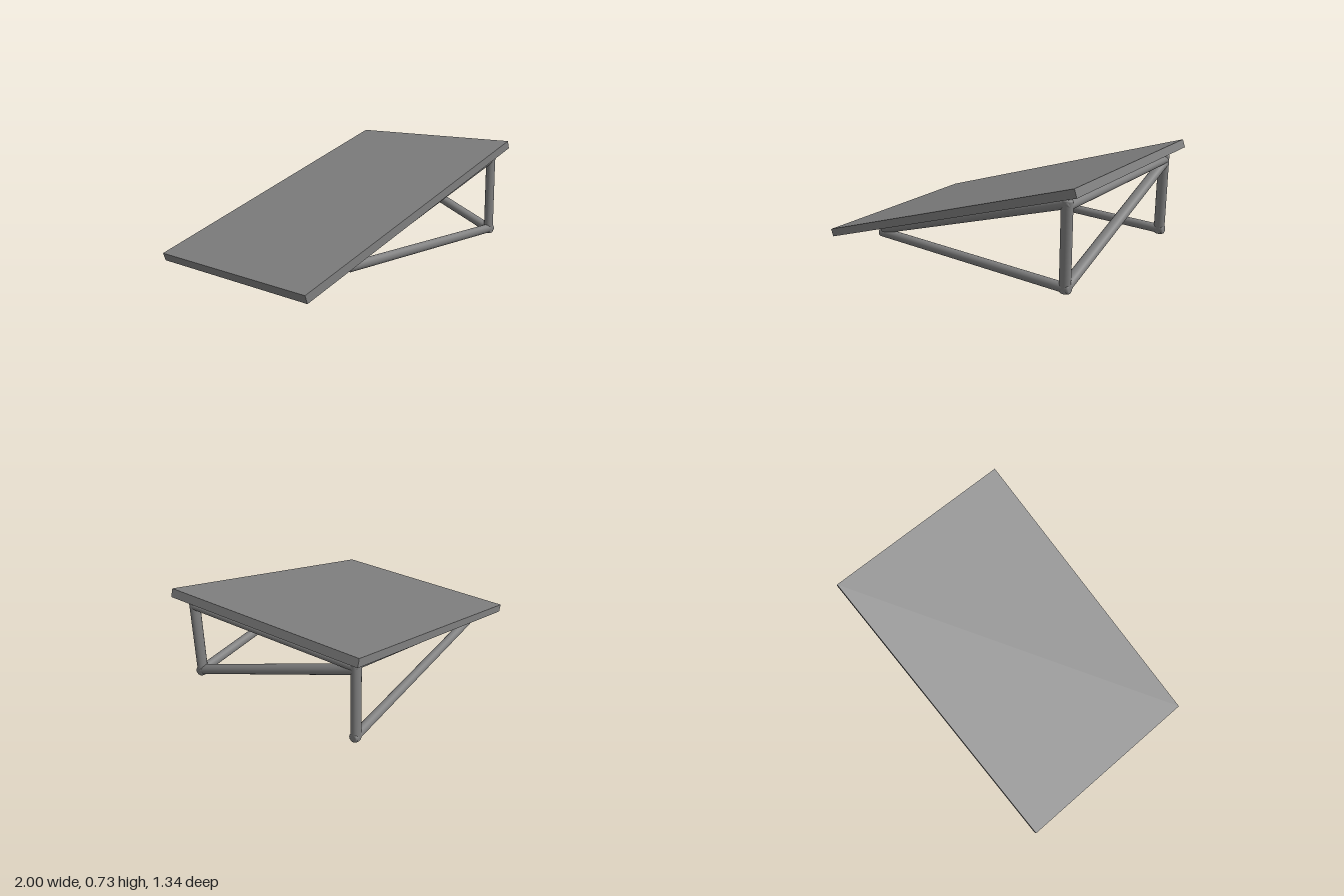
import * as THREE from 'three';

const grey = new THREE.MeshStandardMaterial({ color: 0x808080 });
grey.name = 'grey';

// Tubes are slightly oval: wide in x, narrow in z
const OVAL = new THREE.Vector3(1.22, 1.02, 0.95);
const R = 0.03;

// Round bar between two points, with softly bevelled ends
function bar(name, from, to) {
  const a = new THREE.Vector3(...from).divide(OVAL);
  const b = new THREE.Vector3(...to).divide(OVAL);
  const length = a.distanceTo(b);
  const bevel = 0.01;
  const profile = [new THREE.Vector2(0, 0)];
  for (let i = 0; i <= 4; i++) {
    const t = (i / 4) * Math.PI / 2;
    profile.push(new THREE.Vector2(R - bevel + bevel * Math.sin(t), bevel - bevel * Math.cos(t)));
  }
  const top = profile.map((p) => new THREE.Vector2(p.x, length - p.y)).reverse();
  const geometry = new THREE.LatheGeometry([...profile, ...top], 24);
  const direction = b.clone().sub(a).normalize();
  geometry.applyQuaternion(new THREE.Quaternion().setFromUnitVectors(new THREE.Vector3(0, 1, 0), direction));
  geometry.translate(a.x, a.y, a.z);
  geometry.scale(OVAL.x, OVAL.y, OVAL.z);
  const mesh = new THREE.Mesh(geometry, grey);
  mesh.name = name;
  return mesh;
}

export function createModel() {
  const model = new THREE.Group();
  model.name = 'rampStand';

  // Sloping board
  const board = new THREE.Mesh(new THREE.BoxGeometry(2.096, 0.054, 1.34), grey);
  board.name = 'board';
  board.rotation.z = THREE.MathUtils.degToRad(18.95);
  board.position.y = 0.369;
  model.add(board);

  // Triangular side frames
  for (const [side, z] of [['front', 0.592], ['back', -0.592]]) {
    const frame = new THREE.Group();
    frame.name = `${side}Frame`;
    frame.add(
      bar('baseRail', [-0.578, 0.111, z], [0.928, 0.111, z]),
      bar('upright', [0.892, 0.08, z], [0.892, 0.637, z]),
      bar('slopingRail', [-0.555, 0.135, z], [0.915, 0.622, z]),
    );
    model.add(frame);
  }

  // Bars joining the two frames
  model.add(
    bar('topCrossbar', [0.892, 0.602, -0.592], [0.892, 0.602, 0.592]),
    bar('diagonalBrace', [0.892, 0.112, 0.592], [0.892, 0.58, -0.592]),
  );
  return model;
}
